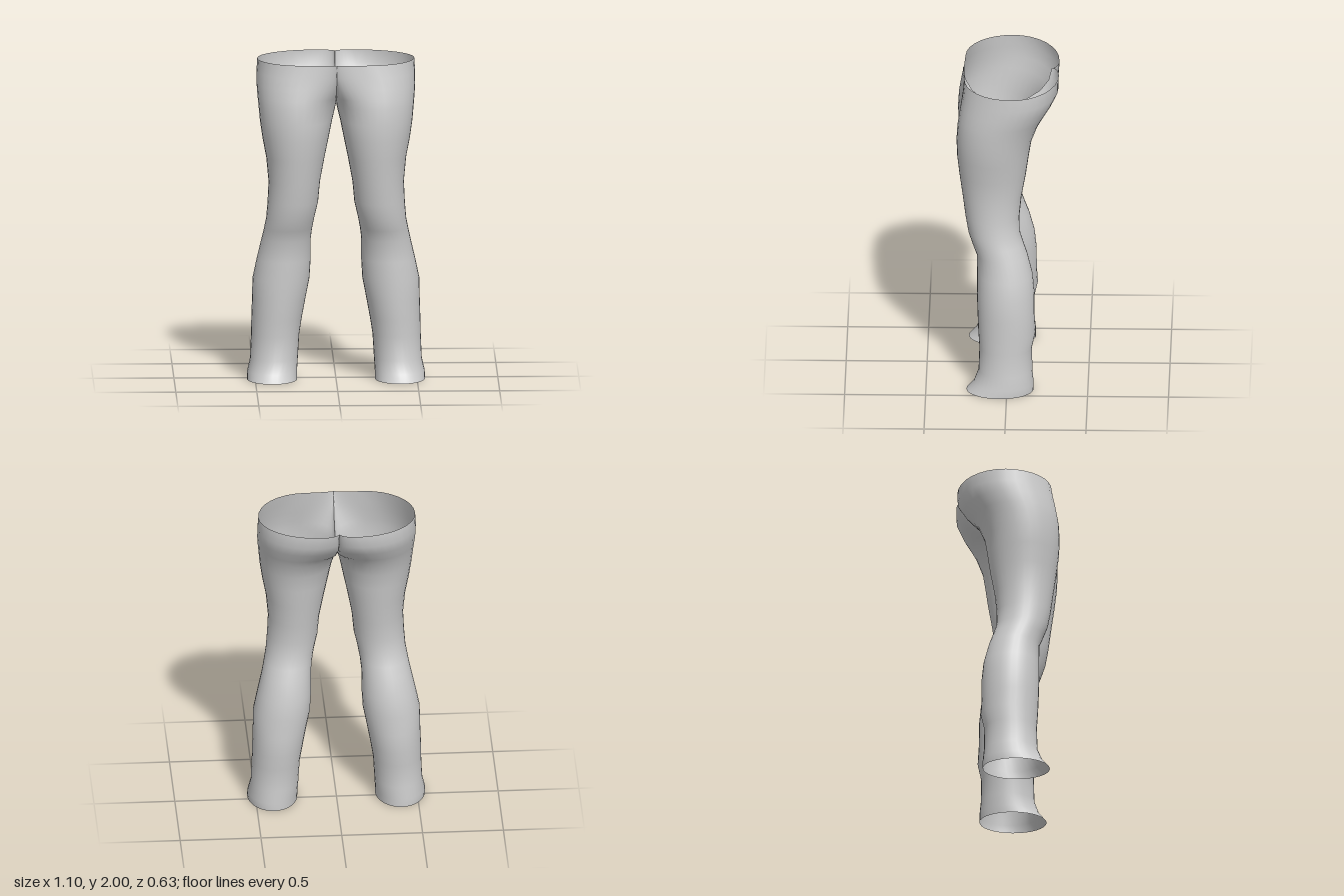
import * as THREE from 'three';
import { toCreasedNormals } from 'three/addons/utils/BufferGeometryUtils.js';

// Leg rings: y, inner x, outer x, front z, back z
const LEG = [
  [0, 0.24, 0.55, 0.25, -0.165],
  [0.05, 0.24, 0.548, 0.205, -0.165],
  [0.13, 0.235, 0.53, 0.175, -0.157],
  [0.28, 0.226, 0.524, 0.17, -0.155],
  [0.38, 0.21, 0.522, 0.177, -0.177],
  [0.5, 0.188, 0.518, 0.182, -0.17],
  [0.63, 0.163, 0.515, 0.186, -0.17],
  [0.75, 0.156, 0.49, 0.185, -0.158],
  [0.88, 0.156, 0.46, 0.188, -0.125],
  [0.95, 0.148, 0.445, 0.215, -0.1],
  [1.02, 0.135, 0.432, 0.24, -0.078],
  [1.12, 0.112, 0.424, 0.258, -0.075],
  [1.25, 0.1, 0.418, 0.275, -0.088],
  [1.4, 0.072, 0.432, 0.296, -0.115],
  [1.52, 0.047, 0.455, 0.31, -0.132],
  [1.63, 0.025, 0.471, 0.314, -0.15],
];

// Hip rings: y, outer x, front z, back z, front seam z, back seam z, x of front peak, x of back peak
const HIP = [
  [1.73, 0.48, 0.308, -0.19, 0.05, 0.05, 0.25, 0.235],
  [1.78, 0.485, 0.3, -0.222, 0.15, -0.1, 0.25, 0.215],
  [1.85, 0.49, 0.288, -0.272, 0.225, -0.2, 0.24, 0.18],
  [1.92, 0.49, 0.275, -0.312, 0.262, -0.25, 0.22, 0.14],
  [2, 0.485, 0.266, -0.315, 0.28, -0.27, 0.18, 0.11],
];

const STEPS = 8; // points in each quarter of a ring

// One ring, from the front seam round the outside to the back seam
function ring({ y, xi, xo, zf, zb, sf, sb, xf, xb }) {
  const zo = (zf + zb) / 2;
  const points = [];
  for (let j = 0; j <= STEPS * 4; j++) {
    const quarter = Math.min(3, Math.floor(j / STEPS));
    const t = ((j - quarter * STEPS) / STEPS) * Math.PI / 2;
    const s = Math.sin(t), c = Math.cos(t);
    if (quarter === 0) points.push([xf - (xf - xi) * c, y, sf + (zf - sf) * s]);
    else if (quarter === 1) points.push([xf + (xo - xf) * s, y, zo + (zf - zo) * c]);
    else if (quarter === 2) points.push([xb + (xo - xb) * c, y, zo + (zb - zo) * s]);
    else points.push([xb - (xb - xi) * s, y, sb + (zb - sb) * c]);
  }
  return points;
}

// Both mirrored halves share one surface so that the front seam stays smooth
function trouserGeometry() {
  const rows = LEG.map(([y, xi, xo, zf, zb]) => {
    const mid = (xi + xo) / 2, seam = (zf + zb) / 2;
    return ring({ y, xi, xo, zf, zb, sf: seam, sb: seam, xf: mid, xb: mid });
  }).concat(HIP.map(([y, xo, zf, zb, sf, sb, xf, xb]) =>
    ring({ y, xi: 0, xo, zf, zb, sf, sb, xf, xb })));

  const positions = [], index = [];
  const width = STEPS * 4 + 1;
  for (const side of [1, -1]) {
    const base = positions.length / 3;
    for (const row of rows) for (const [x, y, z] of row) positions.push(side * x, y, z);
    for (let i = 0; i < rows.length - 1; i++) {
      for (let j = 0; j < width - 1; j++) {
        const a = base + i * width + j, b = a + 1, c = a + width, d = c + 1;
        if (side > 0) index.push(a, b, c, b, d, c);
        else index.push(a, c, b, b, c, d);
      }
    }
  }
  const geometry = new THREE.BufferGeometry();
  geometry.setAttribute('position', new THREE.Float32BufferAttribute(positions, 3));
  geometry.setIndex(index);
  return toCreasedNormals(geometry, 1.0);
}

export function createModel() {
  const group = new THREE.Group();
  group.name = 'trousers';
  const fabric = new THREE.MeshStandardMaterial({ color: 0xcccccc, side: THREE.DoubleSide });
  fabric.name = 'light grey fabric';

  // Open cloth shell: two legs joined at the hips
  const shell = new THREE.Mesh(trouserGeometry(), fabric);
  shell.name = 'trouserShell';
  group.add(shell);
  return group;
}
